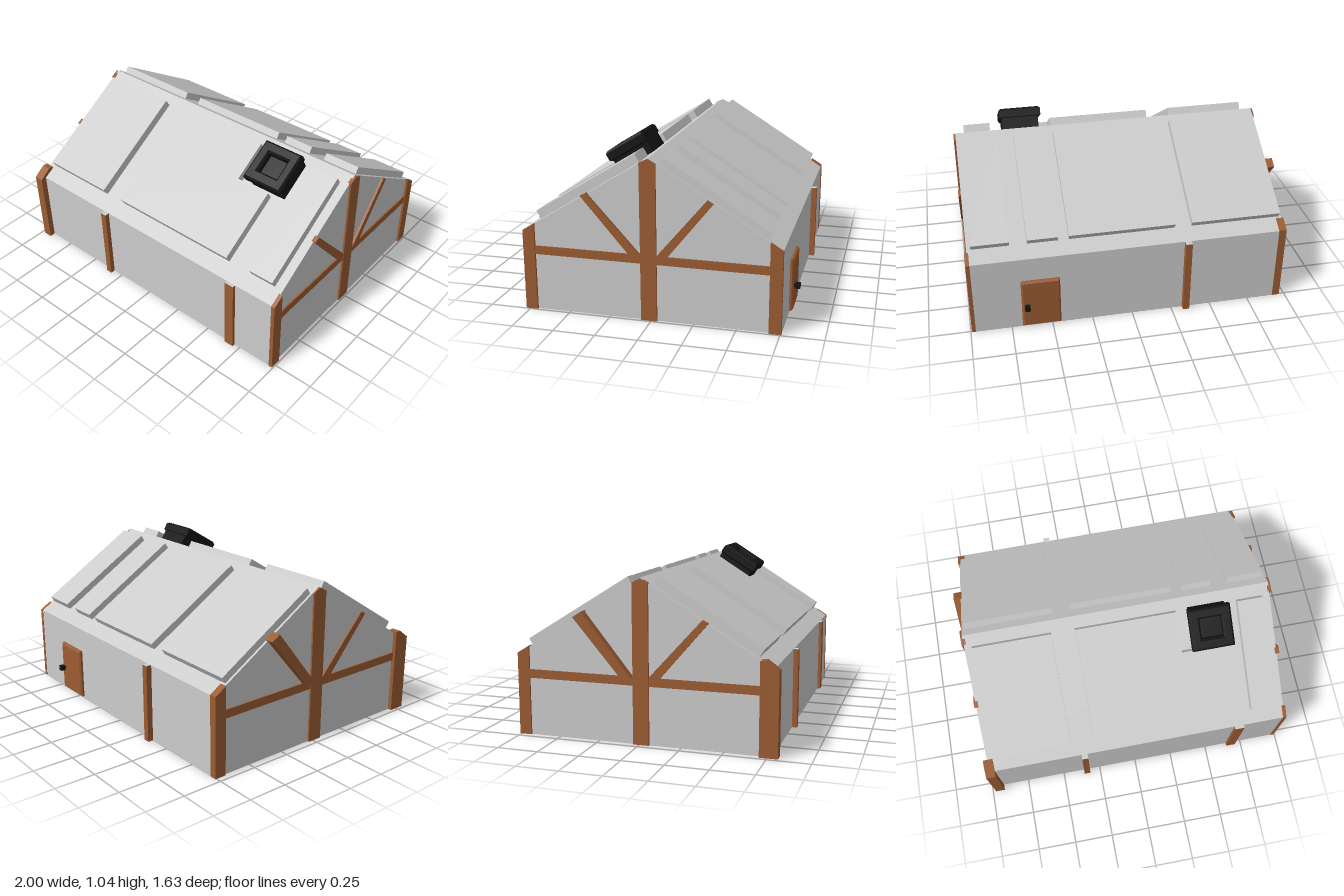
import * as THREE from 'three';

const mat = (color) => new THREE.MeshStandardMaterial({ color, flatShading: true });
const RIDGE_Y = 0.965, RIDGE_Z = 0.01, EAVE_Y = 0.49, HALF = 0.765;
const PITCH = Math.atan2(RIDGE_Y - EAVE_Y, HALF);

export function createModel() {
  const model = new THREE.Group();
  model.name = 'timberFrameHouse';
  const grey = mat(0xcccccc), wood = mat(0x9b5c33), black = mat(0x151515);

  const add = (parent, name, geometry, material) => {
    const mesh = new THREE.Mesh(geometry, material);
    mesh.name = name;
    parent.add(mesh);
    return mesh;
  };
  const outline = (pts) => new THREE.Shape(pts.map(([a, b]) => new THREE.Vector2(a, b)));
  const extrude = (shape, depth) => new THREE.ExtrudeGeometry(shape, { depth, bevelEnabled: false });

  // Box given by its two extreme corners
  const box = (parent, name, [x0, y0, z0], [x1, y1, z1], material) => {
    const m = add(parent, name, new THREE.BoxGeometry(x1 - x0, y1 - y0, z1 - z0), material);
    m.position.set((x0 + x1) / 2, (y0 + y1) / 2, (z0 + z1) / 2);
    return m;
  };

  // Profile of [z, y] points swept from x0 to x1
  const slab = (name, pts, x0, x1, material) => {
    const m = add(model, name, extrude(outline(pts.map(([z, y]) => [-z, y])), x1 - x0), material);
    m.rotation.y = Math.PI / 2;
    m.position.x = x0;
    return m;
  };

  // Walls and gabled roof in one solid
  const zf = RIDGE_Z + HALF, zb = RIDGE_Z - HALF;
  slab('houseBody', [[zf, 0], [zf, EAVE_Y], [RIDGE_Z, RIDGE_Y], [zb, EAVE_Y], [zb, 0]], -0.955, 0.98, grey);

  // Roof slopes: local x across, y up the slope (0 at the ridge), z outward
  const slope = (name, back) => {
    const pivot = new THREE.Group(), g = new THREE.Group();
    pivot.name = name;
    pivot.position.set(0, RIDGE_Y, RIDGE_Z);
    if (back) pivot.rotation.y = Math.PI;
    g.rotation.x = PITCH - Math.PI / 2;
    pivot.add(g);
    model.add(pivot);
    return g;
  };
  const frontSlope = slope('frontRoof', false);
  const backSlope = slope('backRoof', true);

  // Raised roof panels, the middle front one notched around the chimney
  const TOP = -0.077, LOW = -0.795;
  const rect = (x0, x1, top = TOP, low = LOW) => [[x0, low], [x1, low], [x1, top], [x0, top]];
  const frontPanels = [
    rect(-0.905, -0.415),
    [[-0.265, LOW], [0.595, LOW], [0.595, -0.338], [0.37, -0.338], [0.37, TOP], [-0.265, TOP]],
    rect(0.76, 0.925),
  ];
  for (const pts of frontPanels) add(frontSlope, 'frontRoofPanel', extrude(outline(pts), 0.055), grey);
  for (const [x0, x1, t, d] of [[-0.94, -0.38, -0.065, 0.043], [-0.275, 0.375, -0.072, 0.043],
    [0.44, 0.625, -0.065, 0.043], [0.73, 0.955, -0.065, 0.043]]) {
    add(backSlope, 'backRoofPanel', extrude(outline(rect(-x1, -x0, t, -0.8)), d), grey);
  }

  // Chimney: base and a wider, bevelled cap with a recessed opening
  box(frontSlope, 'chimneyBase', [0.448, -0.315, -0.01], [0.68, -0.07, 0.085], black);
  const cap = outline(rect(0.442, 0.683, -0.077, -0.318));
  cap.holes.push(new THREE.Path(rect(0.482, 0.645, -0.12, -0.272).map((p) => new THREE.Vector2(...p))));
  const capGeo = new THREE.ExtrudeGeometry(cap, {
    depth: 0.044, bevelEnabled: true, bevelThickness: 0.012, bevelSize: 0.012, bevelSegments: 1,
  });
  add(frontSlope, 'chimneyCap', capGeo, black).position.z = 0.082;

  // Free wall posts, with pale tops
  const postMats = [wood, wood, grey, wood, wood, wood];
  box(model, 'frontPost', [-0.36, 0, 0.76], [-0.32, EAVE_Y, 0.805], postMats);
  box(model, 'frontPost', [0.648, 0, 0.76], [0.71, EAVE_Y, 0.795], postMats);
  box(model, 'backPost', [-0.36, 0, -0.79], [-0.32, EAVE_Y, -0.74], postMats);

  // Corner posts
  slab('frontRightPost', [[0.705, 0], [0.812, 0], [0.812, 0.49], [0.74, 0.543], [0.705, 0.54]], -0.98, -0.92, wood);
  slab('backRightPost', [[-0.685, 0], [-0.758, 0], [-0.758, 0.495], [-0.685, 0.54]], -0.966, -0.92, wood);
  slab('frontLeftPost', [[0.705, 0], [0.777, 0], [0.777, 0.49], [0.705, 0.534]], 0.97, 0.994, wood);
  slab('backLeftPost', [[-0.685, 0], [-0.757, 0], [-0.757, 0.49], [-0.685, 0.534]], 0.97, 0.994, wood);

  // Gable framing: king post, tie beam and two braces on each end
  const kingPost = [[-0.035, 0], [0.06, 0], [0.06, 0.937], [0.012, 0.962], [-0.035, 0.937]];
  const tieBeam = [[-0.742, 0.347], [0.77, 0.347], [0.77, 0.398], [-0.742, 0.398]];
  const frontBrace = [[0.41, 0.725], [0.375, 0.743], [0.06, 0.398], [0.128, 0.398]];
  const backBrace = [[-0.33, 0.75], [-0.365, 0.73], [-0.1, 0.398], [-0.035, 0.398]];
  const backBraceDeep = [[-0.33, 0.765], [-0.385, 0.73], [-0.1, 0.398], [-0.035, 0.398]];
  slab('leftKingPost', kingPost, 0.97, 0.992, wood);
  slab('leftTieBeam', tieBeam, 0.97, 0.989, wood);
  slab('leftFrontBrace', frontBrace, 0.97, 0.997, wood);
  slab('leftBackBrace', backBrace, 0.97, 0.995, wood);
  slab('rightKingPost', kingPost, -0.967, -0.94, wood);
  slab('rightTieBeam', tieBeam, -0.964, -0.94, wood);
  slab('rightFrontBrace', frontBrace, -0.966, -0.94, wood);
  slab('rightBackBrace', backBraceDeep, -1.0, -0.94, wood);

  // Back door with chamfered edges and a knob
  const doorGeo = new THREE.ExtrudeGeometry(outline(rect(-0.673, -0.457, 0.327, 0.022)), {
    depth: 0.02, bevelEnabled: true, bevelThickness: 0.01, bevelSize: 0.01, bevelSegments: 1,
  });
  const door = add(model, 'backDoor', doorGeo, wood);
  door.rotation.y = Math.PI;
  door.position.z = -0.748;
  box(model, 'knobStem', [0.642, 0.157, -0.79], [0.66, 0.175, -0.77], black);
  box(model, 'doorKnob', [0.635, 0.15, -0.815], [0.667, 0.182, -0.785], black);

  return model;
}
